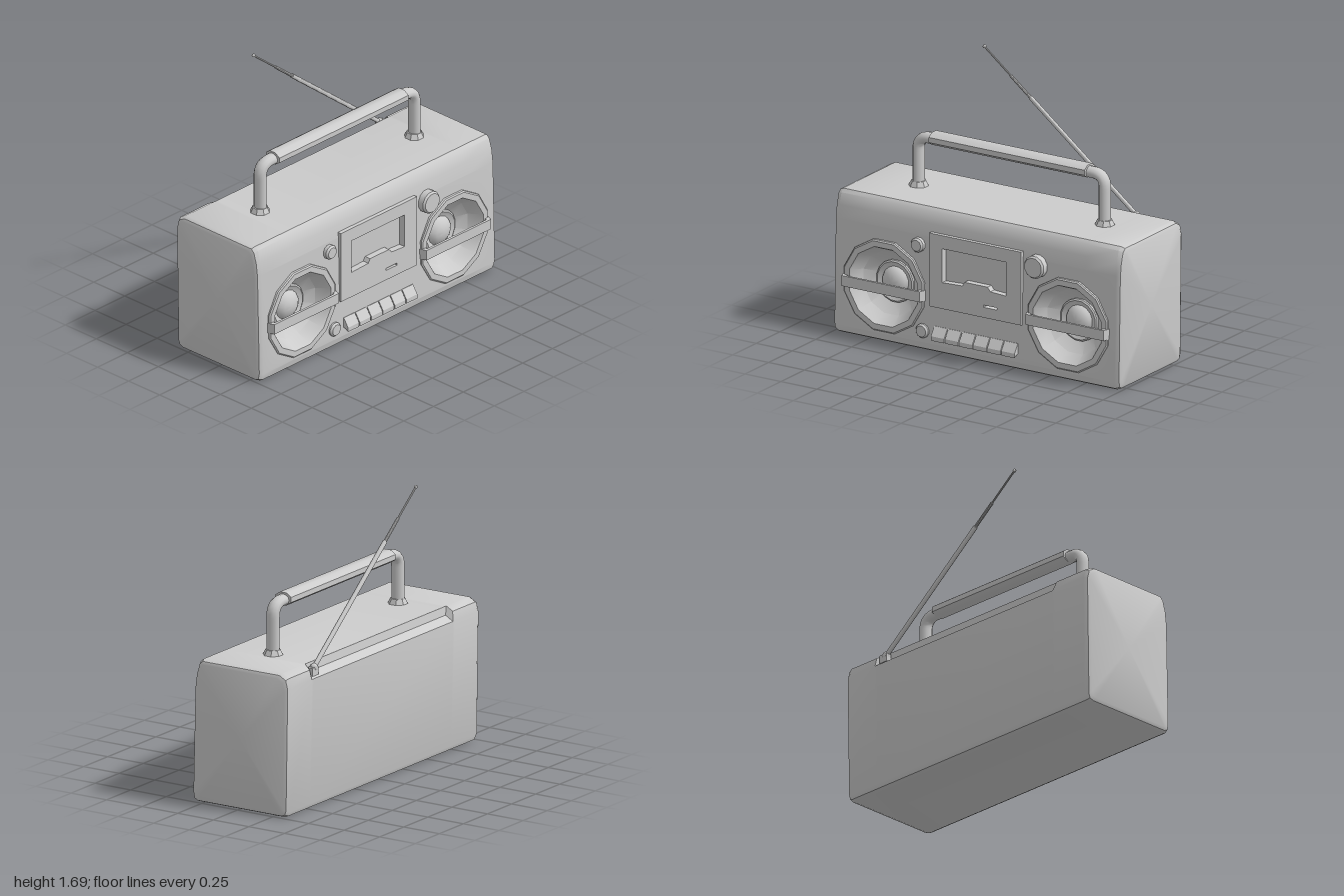
import * as THREE from 'three';
import { toCreasedNormals } from 'three/addons/utils/BufferGeometryUtils.js';

const material = new THREE.MeshStandardMaterial({ color: 0xcccccc });

function add(parent, name, geometry, crease = 0.6) {
  const mesh = new THREE.Mesh(toCreasedNormals(geometry, crease), material);
  mesh.name = name;
  parent.add(mesh);
  return mesh;
}

const polygon = (points) => new THREE.Shape(points.map(([x, y]) => new THREE.Vector2(x, y)));
const rect = (x0, y0, x1, y1) => polygon([[x0, y0], [x1, y0], [x1, y1], [x0, y1]]);

// Turned part whose axis points to the front; profile is [radius, z] from rim to centre
function turned(profile, sides) {
  const points = profile.map(([r, z]) => new THREE.Vector2(r, z));
  return new THREE.LatheGeometry(points, sides, Math.PI / sides).rotateX(Math.PI / 2);
}

const SPEAKER = { x: 0.64, y: 0.342 };

// Case: side profile lofted along x, with rounded ends and an aerial groove at the rear top edge
function caseGeometry() {
  const profile = [
    [0.295, 0], [0.317, 0.012], [0.325, 0.05], [0.31, 0.7], [0.3, 0.78], [0.28, 0.848], [0.258, 0.868],
    [-0.297, 0.87], [-0.342, 0.845], [-0.357, 0.79], [-0.345, 0.035], [-0.335, 0.01], [-0.31, 0],
  ];
  const grooveIndex = 8, frontIndex = 2;
  // [x, inset, groove open]
  const stations = [
    [-1, 0.028, 0], [-0.99, 0.01, 0], [-0.965, 0, 0], [-0.73, 0, 0], [-0.71, 0, 1],
    [0.735, 0, 1], [0.755, 0, 0], [0.965, 0, 0], [0.99, 0.01, 0], [1, 0.028, 0],
  ];
  const cy = 0.435, cz = -0.016;
  const rings = stations.map(([x, inset, open]) => profile.map(([z, y], j) => {
    if (open && j === grooveIndex) [z, y] = [-0.305, 0.82];
    return [x, cy + (y - cy) * (1 - inset / 0.435), cz + (z - cz) * (1 - inset / 0.34)];
  }));
  const out = [];
  const n = profile.length, last = rings.length - 1;
  for (let i = 0; i < last; i++) {
    for (let j = 0; j < n; j++) {
      if (j === frontIndex && i >= 2 && i < last - 2) continue; // filled by the pierced front
      const k = (j + 1) % n;
      const a = rings[i][j], b = rings[i + 1][j], c = rings[i + 1][k], d = rings[i][k];
      out.push(...a, ...b, ...c, ...a, ...c, ...d);
    }
  }
  for (let j = 0; j < n; j++) {
    const k = (j + 1) % n;
    out.push(-1, cy, cz, ...rings[0][j], ...rings[0][k]);
    out.push(1, cy, cz, ...rings[last][k], ...rings[last][j]);
  }
  // Front with openings for the speakers and the tape deck
  const front = rect(-0.965, 0.05, 0.965, 0.7);
  for (const side of [-1, 1]) {
    front.holes.push(new THREE.Path().absarc(side * SPEAKER.x, SPEAKER.y, 0.255, 0, Math.PI * 2));
  }
  front.holes.push(rect(-0.28, 0.32, 0.28, 0.685));
  const p = new THREE.ShapeGeometry(front, 12).toNonIndexed().attributes.position;
  for (let i = 0; i < p.count; i++) {
    const y = p.getY(i);
    out.push(p.getX(i), y, 0.325 - 0.015 * (y - 0.05) / 0.65);
  }
  const geometry = new THREE.BufferGeometry();
  geometry.setAttribute('position', new THREE.Float32BufferAttribute(out, 3));
  return geometry;
}

function speaker(side) {
  const group = new THREE.Group();
  group.name = side > 0 ? 'leftSpeaker' : 'rightSpeaker';
  group.position.set(side * SPEAKER.x, SPEAKER.y, 0);
  add(group, 'speakerRimAndCone', turned([
    [0.29, 0.3], [0.288, 0.325], [0.28, 0.332], [0.245, 0.332], [0.237, 0.318], [0.2, 0.245], [0.125, 0.19],
  ], 12));
  add(group, 'speakerDome', turned([
    [0.13, 0.185], [0.13, 0.208], [0.12, 0.214], [0.105, 0.205], [0.09, 0.2],
    [0.08, 0.22], [0.055, 0.238], [0.028, 0.247], [0, 0.25],
  ], 16));
  // Bar bridging the speaker, bent back to the case at both ends
  const bar = polygon([
    [-0.287, -0.31], [-0.255, -0.31], [-0.25, -0.345], [0.25, -0.345], [0.255, -0.31],
    [0.287, -0.31], [0.272, -0.361], [-0.272, -0.361],
  ]);
  const barGeometry = new THREE.ExtrudeGeometry(bar, { depth: 0.064, bevelEnabled: false });
  barGeometry.rotateX(-Math.PI / 2).translate(0, -0.036, 0);
  add(group, 'speakerBar', barGeometry, 0.3);
  return group;
}

function tapeDeck() {
  const group = new THREE.Group();
  group.name = 'tapeDeck';
  const door = rect(-0.32, 0.283, 0.32, 0.733);
  door.holes.push(polygon([
    [-0.23, 0.444], [-0.09, 0.45], [-0.075, 0.475], [0.085, 0.475], [0.105, 0.45],
    [0.215, 0.444], [0.215, 0.652], [-0.23, 0.652],
  ]));
  door.holes.push(rect(0.057, 0.346, 0.152, 0.36));
  const doorGeometry = new THREE.ExtrudeGeometry(door, { depth: 0.05, bevelEnabled: false });
  add(group, 'tapeDoor', doorGeometry.translate(0, 0, 0.281), 0.3);
  add(group, 'tapeWindow', new THREE.BoxGeometry(0.56, 0.4, 0.01).translate(0, 0.51, 0.285), 0.3);
  // Row of wedge keys
  const key = polygon([[-0.3, 0.165], [-0.325, 0.165], [-0.36, 0.112], [-0.36, 0.085], [-0.335, 0.1], [-0.3, 0.1]]);
  for (let i = 0; i < 6; i++) {
    const geometry = new THREE.ExtrudeGeometry(key, { depth: 0.092, bevelEnabled: false });
    geometry.rotateY(Math.PI / 2).translate(-0.29 + i * 0.098, 0, 0);
    add(group, 'tapeKey', geometry, 0.3);
  }
  return group;
}

function carryHandle() {
  const group = new THREE.Group();
  group.name = 'carryHandle';
  group.position.set(0.02, 0, -0.026);
  const v = (x, y) => new THREE.Vector3(x, y, 0);
  for (const side of [-1, 1]) {
    const x = side * 0.648;
    const path = new THREE.CurvePath();
    path.add(new THREE.LineCurve3(v(x, 0.86), v(x, 1.1)));
    path.add(new THREE.QuadraticBezierCurve3(v(x, 1.1), v(x, 1.175), v(side * 0.565, 1.175)));
    path.add(new THREE.LineCurve3(v(side * 0.565, 1.175), v(side * 0.5, 1.175)));
    const tube = new THREE.TubeGeometry(path, 24, 0.034, 12);
    add(group, 'handlePost', tube.scale(1, 1, 1.2), 0.9);
    const foot = new THREE.CylinderGeometry(0.045, 0.062, 0.036, 8, 1, false, Math.PI / 8);
    add(group, 'handleFoot', foot.translate(x, 0.882, 0));
  }
  const grip = new THREE.CylinderGeometry(1, 1, 1.085, 8, 1, false, Math.PI / 8);
  grip.rotateZ(Math.PI / 2).scale(1, 0.041, 0.06).translate(0, 1.181, 0);
  add(group, 'handleGrip', grip, 0.9);
  return group;
}

function aerial() {
  const group = new THREE.Group();
  group.name = 'aerial';
  group.position.set(0.69, 0.845, -0.328);
  add(group, 'aerialPivot', new THREE.SphereGeometry(0.024, 12, 8), 0.9);
  add(group, 'aerialMount', new THREE.BoxGeometry(0.06, 0.05, 0.036).translate(0.01, -0.02, 0));
  // Telescopic rod
  const rod = new THREE.Group();
  rod.name = 'aerialRod';
  rod.rotation.z = Math.atan2(1.06, 0.84);
  const sections = [[0, 0.94, 0.014], [0.94, 1.115, 0.01], [1.115, 1.352, 0.006]];
  for (const [from, to, r] of sections) {
    const geometry = new THREE.CylinderGeometry(r, r, to - from, 10);
    add(rod, 'aerialSection', geometry.translate(0, (from + to) / 2, 0), 0.9);
  }
  add(rod, 'aerialTip', new THREE.SphereGeometry(0.011, 10, 8).translate(0, 1.35, 0), 0.9);
  group.add(rod);
  return group;
}

export function createModel() {
  const model = new THREE.Group();
  model.name = 'portableStereo';
  add(model, 'case', caseGeometry());
  model.add(speaker(-1), speaker(1), tapeDeck(), carryHandle(), aerial());
  // Control knobs: [x, y, radius, front z]
  for (const [x, y, r, z] of [[0.42, 0.663, 0.07, 0.36], [-0.405, 0.642, 0.044, 0.345], [-0.37, 0.122, 0.044, 0.345]]) {
    const geometry = turned([[r, 0.28], [r, z - 0.012], [r - 0.01, z], [0, z]], 12);
    add(model, 'knob', geometry.translate(x, y, 0));
  }
  return model;
}
